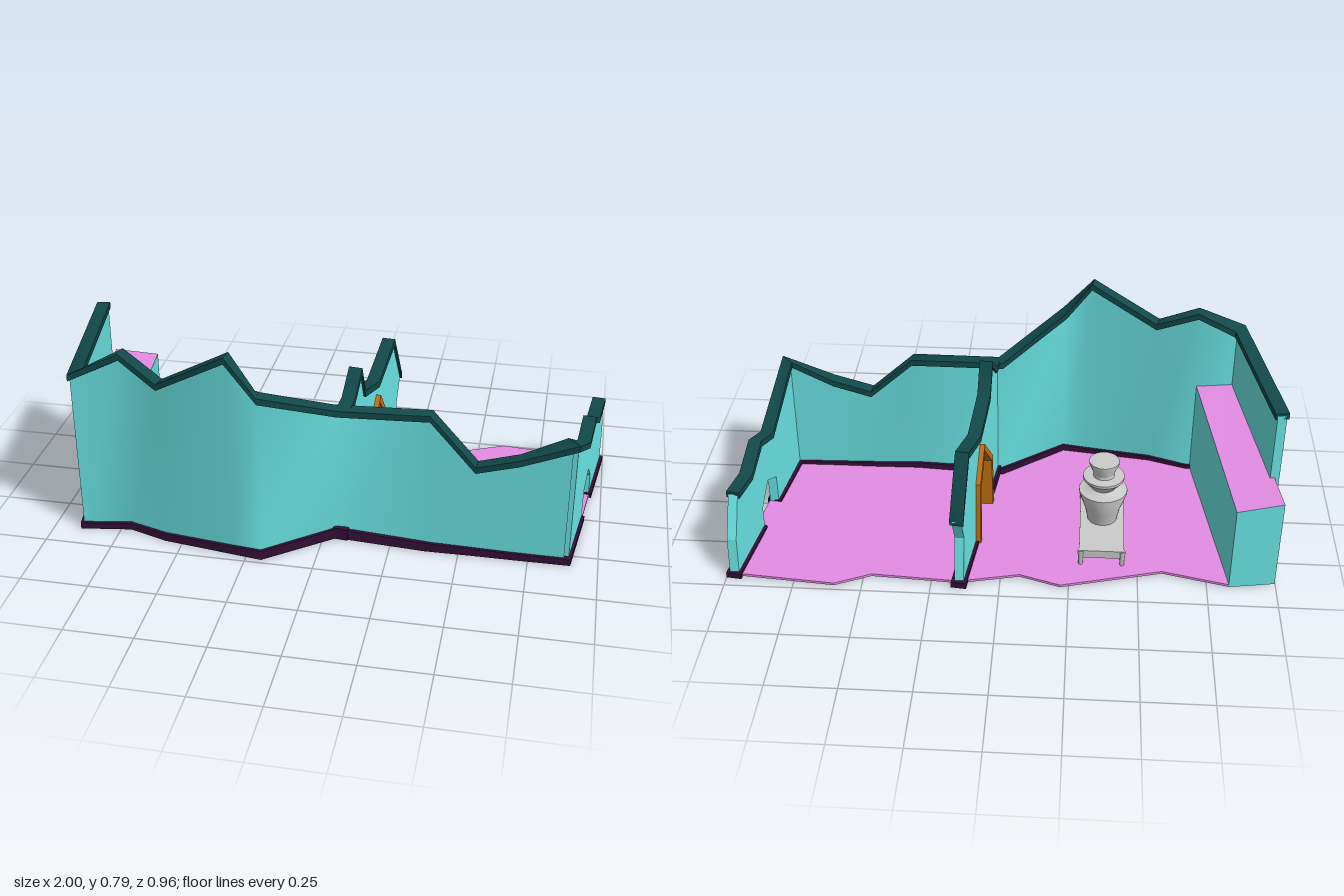
import * as THREE from 'three';
import { toCreasedNormals } from 'three/addons/utils/BufferGeometryUtils.js';

const mat = (color) => new THREE.MeshStandardMaterial({ color, side: THREE.DoubleSide });
const V = (x, y, z) => new THREE.Vector3(x, y, z);

// Mitred strip of rectangular section between a top line and a bottom line
function band(top, bottom, width) {
  const pos = [], idx = [], n = top.length;
  const normal = (a, b) => new THREE.Vector2(b.z - a.z, a.x - b.x).normalize();
  for (let i = 0; i < n; i++) {
    const n1 = normal(top[Math.max(i - 1, 0)], top[Math.max(i, 1)]);
    const n2 = normal(top[Math.min(i, n - 2)], top[Math.min(i + 1, n - 1)]);
    const m = n1.clone().add(n2).multiplyScalar(width / 2 / (1 + n1.dot(n2)));
    const t = top[i], b = bottom[i];
    pos.push(b.x + m.x, b.y, b.z + m.y, t.x + m.x, t.y, t.z + m.y,
      t.x - m.x, t.y, t.z - m.y, b.x - m.x, b.y, b.z - m.y);
    if (i === n - 1) continue;
    for (let j = 0; j < 4; j++) {
      const p = i * 4 + j, q = i * 4 + (j + 1) % 4;
      idx.push(p, q, p + 4, p + 4, q, q + 4);
    }
  }
  const e = (n - 1) * 4;
  idx.push(0, 2, 1, 0, 3, 2, e, e + 1, e + 2, e, e + 2, e + 3);
  const g = new THREE.BufferGeometry();
  g.setAttribute('position', new THREE.Float32BufferAttribute(pos, 3));
  g.setIndex(idx);
  return toCreasedNormals(g, 0.95);
}

const shifted = (pts, dy) => pts.map((p) => V(p.x, p.y + dy, p.z));
const polygon = (pts) => new THREE.Shape(pts.map(([a, b]) => new THREE.Vector2(a, b)));

// Upright slab drawn in [z, y], set along the line x = lineX(z)
function slab(outline, thickness, lineX) {
  const g = new THREE.ExtrudeGeometry(polygon(outline.map(([z, y]) => [-z, y])),
    { depth: thickness, bevelEnabled: false });
  g.translate(0, 0, -thickness / 2).rotateY(Math.PI / 2);
  const p = g.attributes.position;
  for (let i = 0; i < p.count; i++) p.setX(i, p.getX(i) + lineX(p.getZ(i)));
  g.computeVertexNormals();
  return g;
}

export function createModel() {
  const model = new THREE.Group();
  const cyan = mat(0x6ae4e4), pink = mat(0xe48ce4), teal = mat(0x12494b);
  const purple = mat(0x351038), orange = mat(0xc47212), grey = mat(0xcccccc);
  const add = (name, geometry, material, parent = model) => {
    const mesh = new THREE.Mesh(geometry, material);
    mesh.name = name;
    parent.add(mesh);
    return mesh;
  };
  const T = 0.034, TRIM = 0.05, BASE = 0.056;
  const rightX = (z) => 0.878 + (0.29 - z) * 0.125;
  const middleX = (z) => 0.068 + (0.26 - z) * 0.11;
  const along = (pts, lineX) => pts.map(([z, y]) => V(lineX(z), y, z));

  // Floor slab with a broken back edge
  const floor = new THREE.ExtrudeGeometry(polygon([
    [-0.83, 0.4], [-0.59, 0.34], [-0.22, 0.44], [-0.07, 0.39], [0.15, 0.44], [0.47, 0.42], [0.6, 0.48],
    [0.985, 0.445], [0.9, -0.3], [0.55, -0.3], [0.04, -0.28], [-0.2, -0.46], [-0.56, -0.41], [-0.72, -0.36],
  ]), { depth: 0.01, bevelEnabled: false });
  add('floor', floor.rotateX(-Math.PI / 2).translate(0, 0.003, 0), pink);

  // Left and front walls, one continuous ruined run
  const front = [
    [-0.975, 0.64, -0.22], [-0.875, 0.64, 0.375], [-0.71, 0.725, 0.35], [-0.56, 0.645, 0.4],
    [-0.305, 0.79, 0.437], [-0.2, 0.655, 0.452], [0.04, 0.53, 0.265], [0.38, 0.538, 0.255],
    [0.55, 0.368, 0.287], [0.7, 0.412, 0.287], [0.878, 0.492, 0.285],
  ].map((p) => V(...p));
  const feet = front.map((p, i) => V(p.x, 0, i === 7 ? 0.29 : p.z));
  add('frontWall', band(shifted(front, -0.01), feet, T), cyan);

  // Right wall with its pointed opening
  const rightTop = [[0, 0.338], [-0.12, 0.38], [-0.24, 0.314], [-0.375, 0.327]];
  add('rightWall', slab([
    [0.29, 0], [0.29, 0.48], ...rightTop.map(([z, y]) => [z, y - 0.01]),
    [-0.42, 0.2], [-0.437, 0.16], [-0.45, 0], [-0.165, 0], [-0.165, 0.1],
    [-0.085, 0.175], [0, 0.13], [0, 0],
  ], T, rightX), cyan);
  const outerTop = [...front, ...along(rightTop, rightX)];
  add('outerWallCoping', band(outerTop, shifted(outerTop, -0.024), TRIM), teal);

  // Dark skirting, broken at the openings
  const skirting = [...feet, V(rightX(0), 0, 0)];
  const heights = [0.025, 0.025, 0.027, 0.03, 0.033, 0.036, 0.04, 0.035, 0.03, 0.027, 0.025, 0.02];
  add('outerSkirting', band(skirting.map((p, i) => V(p.x, heights[i], p.z)), skirting, BASE), purple);
  const skirt = (name, z0, z1, h, lineX) => {
    const line = along([[z0, 0], [z1, 0]], lineX);
    add(name, band(shifted(line, h), line, BASE), purple);
  };
  skirt('rightSkirting', -0.165, -0.46, 0.022, rightX);
  skirt('middleSkirtingFront', 0.3, 0.06, 0.046, middleX);
  skirt('middleSkirtingBack', -0.215, -0.465, 0.025, middleX);

  // Middle partition with its doorway
  const midTop = [[0.27, 0.53], [0.2, 0.54], [0.11, 0.618], [0.06, 0.502], [-0.13, 0.446], [-0.35, 0.52], [-0.472, 0.315]];
  add('middleWall', slab([
    [0.26, 0], ...midTop.map(([z, y]) => [z, y - 0.012]),
    [-0.425, 0.2], [-0.455, 0], [-0.2, 0], [-0.19, 0.265], [-0.11, 0.375], [0.03, 0.23], [0.045, 0],
  ], T, middleX), cyan);
  const middleLine = along(midTop, middleX);
  add('middleWallCoping', band(middleLine, shifted(middleLine, -0.026), TRIM), teal);
  add('doorFrame', slab([
    [0.06, 0.005], [0.042, 0.24], [-0.113, 0.395], [-0.205, 0.275], [-0.215, 0.005],
    [-0.192, 0.005], [-0.182, 0.262], [-0.11, 0.362], [0.02, 0.23], [0.036, 0.005],
  ], 0.07, middleX), orange);

  // Raised platform along the left wall, its top rising to the front
  const plan = [[-0.998, -0.372, 0.36], [-0.83, -0.4, 0.34], [-0.72, 0.345, 0.4], [-0.88, 0.37, 0.4]];
  const quad = (pts) => {
    const g = new THREE.BufferGeometry().setFromPoints(pts);
    g.setIndex([0, 1, 2, 0, 2, 3]);
    g.computeVertexNormals();
    return g;
  };
  const platform = new THREE.Group();
  platform.name = 'platform';
  model.add(platform);
  const up = plan.map(([x, z, y]) => V(x, y, z)), down = plan.map(([x, z]) => V(x, 0.002, z));
  add('platformTop', quad([...up].reverse()), pink, platform);
  add('platformUnderside', quad(down), cyan, platform);
  for (let i = 0; i < 4; i++) {
    const j = (i + 1) % 4;
    add('platformSide', quad([down[j], down[i], up[i], up[j]]), cyan, platform);
  }

  // Stone table carrying three stacked tapering bowls
  const fountain = new THREE.Group();
  fountain.name = 'stoneTable';
  fountain.position.set(-0.367, 0, -0.107);
  model.add(fountain);
  add('tableSlab', new THREE.BoxGeometry(0.165, 0.032, 0.42), grey, fountain).position.y = 0.062;
  add('tableFoot', toCreasedNormals(new THREE.CylinderGeometry(0.065, 0.03, 0.036, 16), 0.6), grey, fountain)
    .position.y = 0.03;
  for (const sx of [-1, 1]) for (const sz of [-1, 1]) {
    add('tableLeg', new THREE.CylinderGeometry(0.012, 0.008, 0.066, 8), grey, fountain)
      .position.set(sx * 0.076, 0.043, sz * 0.203);
  }
  const profile = [
    [0, 0.075], [0.055, 0.075], [0.066, 0.13], [0.09, 0.2], [0.09, 0.21], [0.06, 0.212], [0.045, 0.222],
    [0.055, 0.235], [0.077, 0.262], [0.077, 0.272], [0.04, 0.274], [0.038, 0.285], [0.056, 0.328],
    [0.056, 0.337], [0, 0.337],
  ].map((p) => new THREE.Vector2(...p));
  add('stackedBowls', toCreasedNormals(new THREE.LatheGeometry(profile, 28), 0.6), grey, fountain);

  return model;
}
